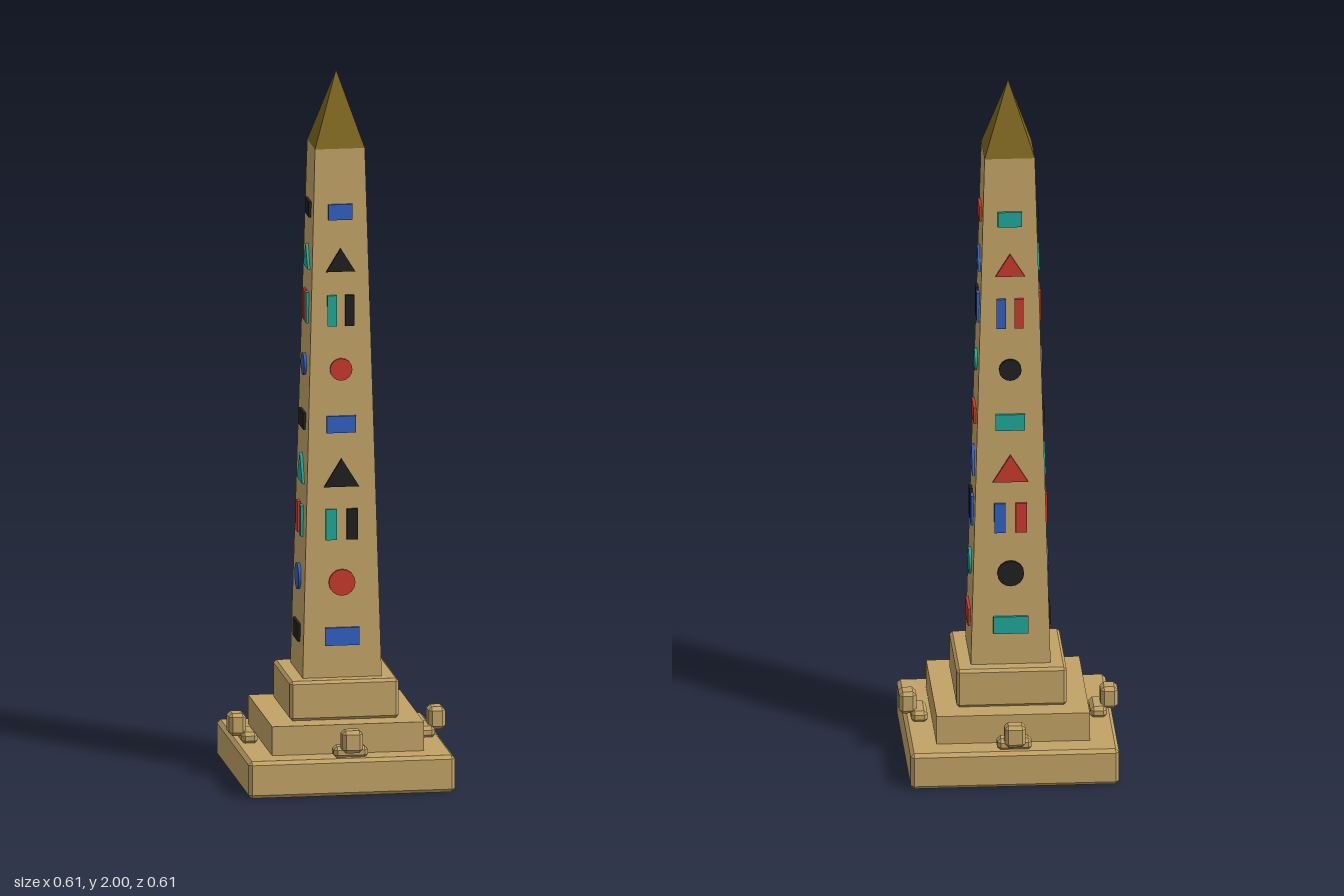
import * as THREE from 'three';
import { ConvexGeometry } from 'three/addons/geometries/ConvexGeometry.js';

const paint = (name, color) => {
  const m = new THREE.MeshStandardMaterial({ color });
  m.name = name;
  return m;
};

const SHAFT = { y0: 0.295, y1: 1.79, h0: 0.111, h1: 0.07 };
const halfWidth = (y) =>
  THREE.MathUtils.mapLinear(y, SHAFT.y0, SHAFT.y1, SHAFT.h0, SHAFT.h1);

// box centred on its origin with flat chamfers on every edge
function chamferBox(w, h, d, c) {
  const points = [];
  for (const sx of [-1, 1]) for (const sy of [-1, 1]) for (const sz of [-1, 1])
    for (let axis = 0; axis < 3; axis++) {
      const inset = [c, c, c];
      inset[axis] = 0;
      points.push(new THREE.Vector3(
        sx * (w / 2 - inset[0]), sy * (h / 2 - inset[1]), sz * (d / 2 - inset[2])));
    }
  return new ConvexGeometry(points);
}

// square tapered column with crisp faces, standing on y0
function taper(bottom, top, y0, y1) {
  const g = new THREE.CylinderGeometry(
    top * Math.SQRT2, bottom * Math.SQRT2, y1 - y0, 4, 1).rotateY(Math.PI / 4)
    .translate(0, (y0 + y1) / 2, 0).toNonIndexed();
  g.computeVertexNormals();
  return g;
}

// triangular plate facing +z, centred on its height
function trianglePlate(w, h, depth) {
  const s = new THREE.Shape();
  s.moveTo(-w / 2, -h / 2).lineTo(w / 2, -h / 2).lineTo(0, h / 2).closePath();
  return new THREE.ExtrudeGeometry(s, { depth, bevelEnabled: false })
    .translate(0, 0, -depth / 2);
}

export function createModel() {
  const model = new THREE.Group();
  model.name = 'obelisk';
  const stone = paint('sandstone', 0xc2a366);
  const gold = paint('dark gold', 0x7d6620);
  const inks = [
    paint('blue', 0x3060c4), paint('red', 0xc83a2c),
    paint('teal', 0x20a898), paint('black', 0x202020),
  ];
  const ink = (i) => inks[(i + 4) % 4];

  const add = (parent, name, geometry, material, x = 0, y = 0, z = 0) => {
    const mesh = new THREE.Mesh(geometry, material);
    mesh.name = name;
    mesh.position.set(x, y, z);
    parent.add(mesh);
  };

  // stepped pedestal
  add(model, 'baseStep', chamferBox(0.58, 0.105, 0.58, 0.01), stone, 0, 0.0525, 0);
  add(model, 'middleStep', new THREE.BoxGeometry(0.426, 0.09, 0.426), stone, 0, 0.142, 0);
  add(model, 'topStep', chamferBox(0.306, 0.112, 0.306, 0.008), stone, 0, 0.243, 0);

  // tapering shaft and pointed cap
  add(model, 'shaft', taper(SHAFT.h0, SHAFT.h1, SHAFT.y0, SHAFT.y1), stone);
  add(model, 'cap', taper(0.07, 0, SHAFT.y1, 2), gold);

  const T = 0.0095; // plate thickness
  for (let f = 0; f < 4; f++) {
    const side = new THREE.Group();
    side.name = ['front', 'left', 'back', 'right'][f] + 'Side';
    side.rotation.y = f * Math.PI / 2;
    model.add(side);

    // painted symbols, repeated up the shaft and shrinking with it
    const symbol = (name, geometry, color, x, y) =>
      add(side, name, geometry, ink(color), x, y, halfWidth(y) + 0.0025);
    for (const y of [0.415, 1.013, 1.612])
      symbol('rectangle', new THREE.BoxGeometry(0.9 * halfWidth(y), 0.03 + 0.19 * halfWidth(y), T), f, 0, y);
    for (const y of [0.567, 1.168]) {
      const r = 0.36 * halfWidth(y);
      symbol('disc', new THREE.CylinderGeometry(r, r, T, 16).rotateX(Math.PI / 2), f + 1, 0, y);
    }
    for (const y of [0.731, 1.334]) {
      const h = halfWidth(y);
      const bar = new THREE.BoxGeometry(0.31 * h, 0.087, T);
      symbol('leftBar', bar, f - 2, -0.3 * h, y);
      symbol('rightBar', bar, f - 1, 0.3 * h, y);
    }
    for (const y of [0.877, 1.477]) {
      const h = halfWidth(y);
      symbol('triangle', trianglePlate(1.04 * h, 0.84 * h, T), f - 1, 0, y);
    }

    // small block figure on the base step
    add(side, 'figureBody', chamferBox(0.096, 0.034, 0.046, 0.01), stone, 0, 0.119, 0.249);
    add(side, 'figureHead', chamferBox(0.058, 0.064, 0.048, 0.01), stone, 0, 0.154, 0.28);
  }
  return model;
}
